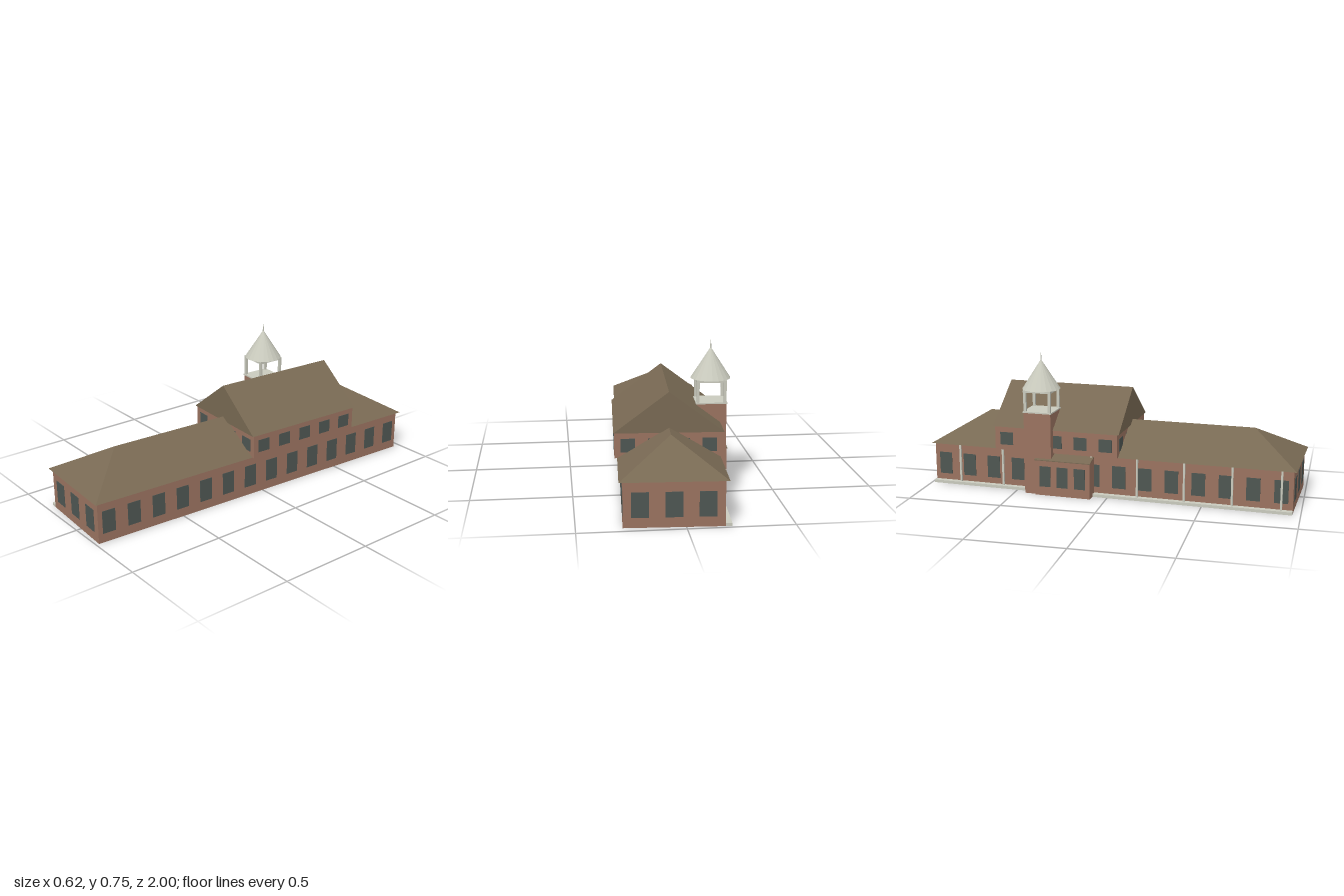
import * as THREE from 'three';

const mat = (name, color) => {
  const m = new THREE.MeshStandardMaterial({ color });
  m.name = name;
  m.side = THREE.DoubleSide;
  return m;
};

export function createModel() {
  const brick = mat('brick', 0x9a7360);
  const shingle = mat('roof shingle', 0x786953);
  const glass = mat('window glass', 0x4e5652);
  const trim = mat('pale trim', 0xc9cabd);

  const model = new THREE.Group();
  model.name = 'schoolhouse';

  function add(parent, name, geo, material, x = 0, y = 0, z = 0, ry = 0) {
    const m = new THREE.Mesh(geo, material);
    m.name = name;
    m.position.set(x, y, z);
    m.rotation.y = ry;
    parent.add(m);
    return m;
  }
  function group(name, x = 0, z = 0) {
    const g = new THREE.Group();
    g.name = name;
    g.position.set(x, 0, z);
    model.add(g);
    return g;
  }
  const box = (w, h, d) => new THREE.BoxGeometry(w, h, d);

  // A plain wall sheet with an even row of windows, facing +z before turning by ry
  function wall(parent, name, length, dist, y0, y1, ry, win) {
    const g = new THREE.Group();
    g.name = name;
    g.rotation.y = ry;
    parent.add(g);
    add(g, 'wall', new THREE.PlaneGeometry(length, y1 - y0), brick, 0, (y0 + y1) / 2, dist);
    for (let i = 0; i < win.count; i++) {
      add(g, 'window', box(win.width, win.top - win.bottom, 0.004), glass,
        (i - (win.count - 1) / 2) * win.step, (win.top + win.bottom) / 2, dist);
    }
  }
  function fourWalls(parent, hw, hl, y0, y1, endWin, sideWin) {
    wall(parent, 'frontWall', hw * 2, hl, y0, y1, 0, endWin);
    wall(parent, 'backWall', hw * 2, hl, y0, y1, Math.PI, endWin);
    wall(parent, 'leftWall', hl * 2, hw, y0, y1, Math.PI / 2, sideWin);
    wall(parent, 'rightWall', hl * 2, hw, y0, y1, -Math.PI / 2, sideWin);
  }

  // Closed pitched roof: inset > 0 gives hipped ends, 0 gives upright gables
  function pitchedRoof(hw, hl, rise, inset) {
    const g = new THREE.BufferGeometry();
    g.setAttribute('position', new THREE.Float32BufferAttribute([
      -hw, 0, -hl, hw, 0, -hl, hw, 0, hl, -hw, 0, hl,
      0, rise, -hl + inset, 0, rise, hl - inset], 3));
    g.setIndex([2, 1, 4, 2, 4, 5, 0, 3, 5, 0, 5, 4, 3, 2, 5, 1, 0, 4, 0, 1, 2, 0, 2, 3]);
    const flat = g.toNonIndexed();
    flat.computeVertexNormals();
    return flat;
  }

  // Main long hall
  const hall = group('mainHall');
  const tall = { bottom: 0.048, top: 0.168 };
  fourWalls(hall, 0.233, 0.973, 0, 0.218,
    { count: 3, step: 0.154, width: 0.08, ...tall },
    { count: 14, step: 0.1405, width: 0.071, ...tall });
  add(hall, 'hippedRoof', pitchedRoof(0.25, 0.988, 0.15, 0.25), shingle, 0, 0.218, 0);

  // Raised upper storey
  const upper = group('upperStorey', 0.001, -0.268);
  const low = { bottom: 0.246, top: 0.314 };
  fourWalls(upper, 0.262, 0.338, 0.218, 0.343,
    { count: 4, step: 0.131, width: 0.07, ...low },
    { count: 5, step: 0.1365, width: 0.072, ...low });
  add(upper, 'gableRoof', pitchedRoof(0.267, 0.347, 0.2, 0), shingle, 0, 0.343, 0);

  // Bell tower with open belfry and conical cap
  const tower = group('bellTower', -0.223, -0.354);
  add(tower, 'shaft', box(0.148, 0.437, 0.148), brick, 0, 0.2185, 0);
  add(tower, 'belfryFloor', box(0.157, 0.007, 0.157), trim, 0, 0.4395, 0);
  for (const sx of [-1, 1]) for (const sz of [-1, 1]) {
    add(tower, 'belfryPost', box(0.014, 0.104, 0.014), trim, sx * 0.067, 0.494, sz * 0.067);
  }
  add(tower, 'belfryBeam', box(0.15, 0.012, 0.15), trim, 0, 0.549, 0);
  const cone = new THREE.ConeGeometry(0.1, 0.155, 20).toNonIndexed();
  cone.computeVertexNormals();
  add(tower, 'conicalCap', cone, trim, 0, 0.6325, 0);
  add(tower, 'finial', new THREE.CylinderGeometry(0.0015, 0.004, 0.045, 8), trim, 0, 0.7225, 0);

  // Entrance annex with a lean-to roof, higher on the hall side
  const annex = group('entranceAnnex', -0.271, -0.215);
  function leanTo(w, h, d, rise) {
    const g = box(w, h, d);
    const p = g.attributes.position;
    for (let i = 0; i < p.count; i++) {
      if (p.getX(i) > 0 && (rise.all || p.getY(i) > 0)) p.setY(i, p.getY(i) + rise.by);
    }
    g.computeVertexNormals();
    return g;
  }
  add(annex, 'annexWalls', leanTo(0.076, 0.188, 0.3, { by: 0.024 }), brick, 0, 0.094, 0);
  add(annex, 'annexRoof', leanTo(0.082, 0.004, 0.306, { by: 0.024, all: true }), shingle, 0, 0.19, 0);
  for (const z of [-0.095, 0, 0.095]) {
    add(annex, 'annexWindow', box(0.006, 0.11, 0.06), glass, -0.038, 0.103, z);
  }

  // Covered walk along the right side: slab and slim posts
  const walk = group('coveredWalk');
  add(walk, 'walkSlab', box(0.03, 0.015, 1.946), trim, -0.248, 0.0075, 0);
  for (let i = 0; i < 8; i++) {
    add(walk, 'walkPost', box(0.01, 0.205, 0.01), trim, -0.246, 0.1165, -0.82 + i * 0.248);
  }

  // The whole building stands slightly turned
  model.rotation.y = -0.053;
  model.position.x = 0.004;
  const root = new THREE.Group();
  root.name = 'building';
  root.add(model);
  return root;
}
